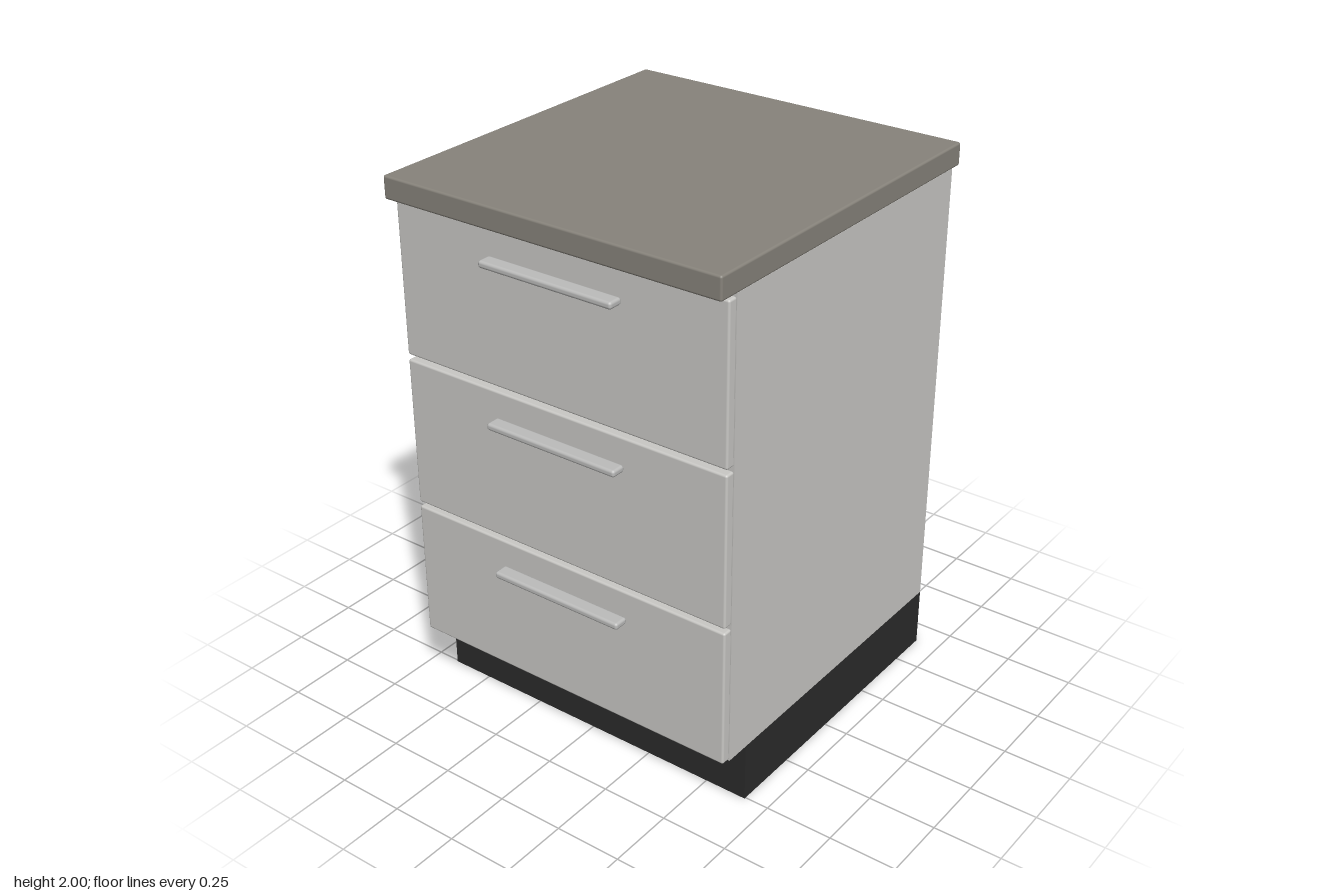
import * as THREE from 'three';
import { RoundedBoxGeometry } from 'three/addons/geometries/RoundedBoxGeometry.js';

const material = (name, color) => {
  const m = new THREE.MeshStandardMaterial({ color });
  m.name = name;
  return m;
};

export function createModel() {
  const group = new THREE.Group();
  group.name = 'drawerCabinet';

  const lightGrey = material('lightGrey', 0xc9c8c5);
  const worktopGrey = material('worktopGrey', 0x87837b);
  const plinthBlack = material('plinthBlack', 0x2b2b2b);
  const handleGrey = material('handleGrey', 0xbcbcbb);

  // Box given by half width and its y and z limits, optionally with rounded edges
  const addBox = (name, mat, halfX, y0, y1, z0, z1, radius = 0) => {
    const size = [halfX * 2, y1 - y0, z1 - z0];
    const geometry = radius
      ? new RoundedBoxGeometry(...size, 2, radius)
      : new THREE.BoxGeometry(...size);
    const mesh = new THREE.Mesh(geometry, mat);
    mesh.name = name;
    mesh.position.set(0, (y0 + y1) / 2, (z0 + z1) / 2);
    group.add(mesh);
  };

  // Recessed base, carcass and overhanging worktop
  addBox('plinth', plinthBlack, 0.66, 0, 0.223, -0.648, 0.506);
  addBox('carcass', lightGrey, 0.66, 0.223, 1.918, -0.648, 0.6);
  addBox('worktop', worktopGrey, 0.664, 1.918, 2, -0.69, 0.684, 0.008);

  // Drawer fronts, each with a bar handle: bottom, top, handle height
  const drawers = [
    [0.23, 0.751, 0.642],
    [0.768, 1.328, 1.22],
    [1.346, 1.907, 1.798],
  ];
  drawers.forEach(([y0, y1, handleY], i) => {
    addBox(`drawerFront${i + 1}`, lightGrey, 0.66, y0, y1, 0.599, 0.638, 0.008);
    addBox(`drawerHandle${i + 1}`, handleGrey, 0.266, handleY - 0.013, handleY + 0.013, 0.637, 0.693, 0.01);
  });

  return group;
}
